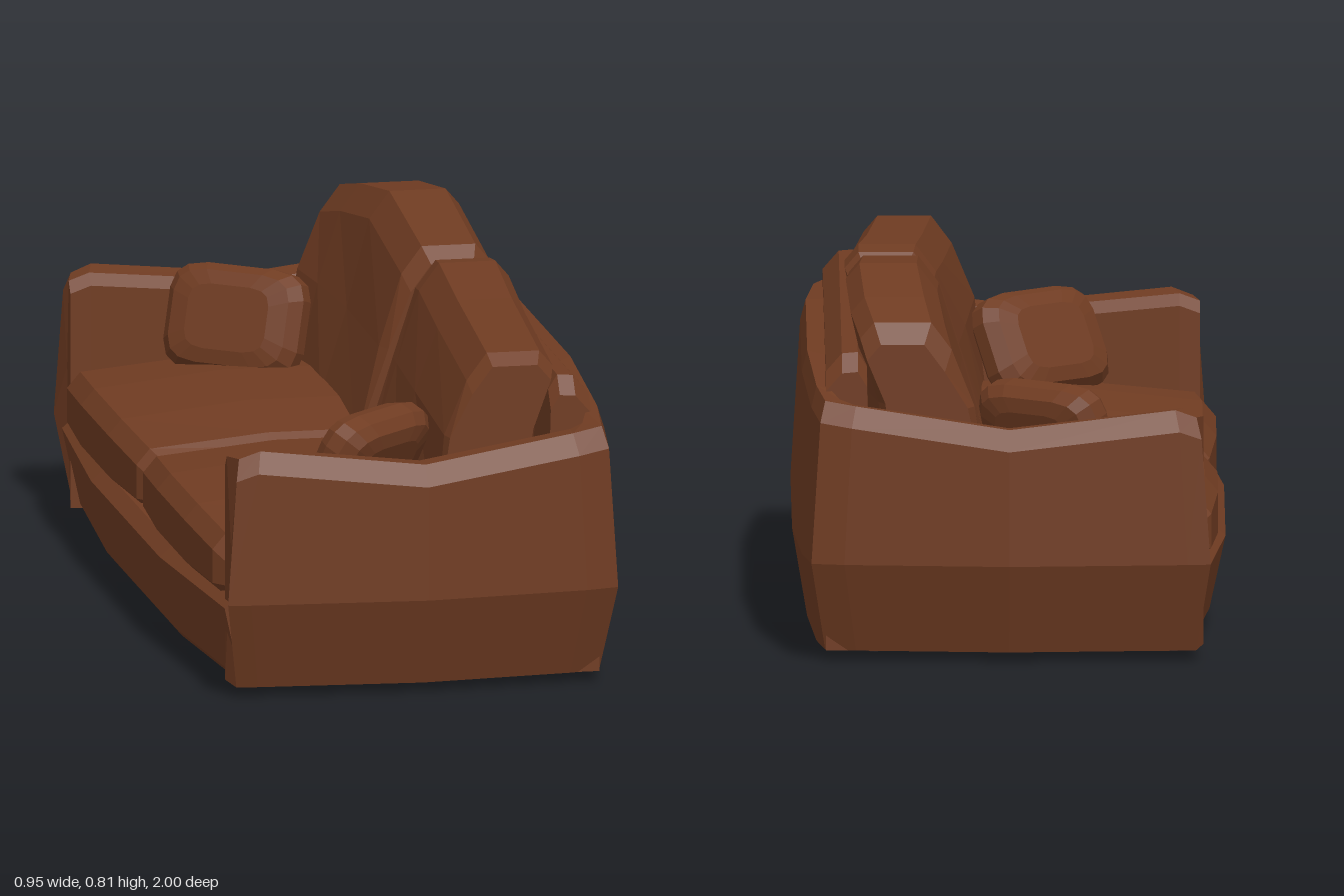
import * as THREE from 'three';

const leather = new THREE.MeshStandardMaterial({ color: 0x703c22, flatShading: true });
leather.name = 'brown leather';
const dark = new THREE.MeshStandardMaterial({ color: 0x2a2124, flatShading: true });
dark.name = 'dark feet';

// Skin a list of equal-length closed rings, capped at both ends, facing outward
function loft(name, rings) {
  const pts = rings.map(r => r.map(p => new THREE.Vector3(...p)));
  const n = pts[0].length, tris = [];
  for (let i = 0; i < pts.length - 1; i++) {
    for (let j = 0; j < n; j++) {
      const k = (j + 1) % n;
      const a = pts[i][j], b = pts[i][k], c = pts[i + 1][k], d = pts[i + 1][j];
      tris.push([a, b, c], [a, c, d]);
    }
  }
  const cap = (ring, flip) => {
    const mid = ring.reduce((s, p) => s.add(p), new THREE.Vector3()).divideScalar(n);
    ring.forEach((p, j) => {
      const q = ring[(j + 1) % n];
      tris.push(flip ? [mid, q, p] : [mid, p, q]);
    });
  };
  cap(pts[0], true);
  cap(pts[pts.length - 1], false);
  const cross = new THREE.Vector3();
  const volume = tris.reduce((s, [a, b, c]) => s + a.dot(cross.crossVectors(b, c)), 0);
  const ordered = tris.map(t => (volume < 0 ? [t[0], t[2], t[1]] : t)).flat();
  const geo = new THREE.BufferGeometry().setFromPoints(ordered);
  geo.computeVertexNormals();
  const mesh = new THREE.Mesh(geo, leather);
  mesh.name = name;
  return mesh;
}

// Arms and back as one U-shaped sweep: outer x, z, inner x, z, top height
function armsAndBack() {
  const half = [
    [-0.44, 0.965, -0.425, 0.855, 0.54],
    [-0.39, 0.972, -0.38, 0.852, 0.557],
    [0, 1.0, 0, 0.88, 0.517],
    [0.36, 0.967, 0.34, 0.85, 0.565],
    [0.432, 0.95, 0.37, 0.84, 0.575],
    [0.452, 0.8, 0.39, 0.78, 0.588],
    [0.472, 0.4, 0.4, 0.4, 0.61],
  ];
  const mirrored = half.slice().reverse().map(([x, z, u, w, t]) => [x, -z, u, -w, t]);
  return loft('armsAndBack', [...half, ...mirrored].map(([x, z, u, w, t]) => [
    [u, 0.03, w],
    [x * 0.93, 0.022, z * 0.935],
    [x, 0.22, z],
    [x * 0.955, t - 0.045, z * 0.995],
    [x * 0.93, t, z * 0.965],
    [u, t - 0.005, w + Math.sign(w) * 0.02],
    [u, t - 0.03, w],
  ]));
}

// Bulging front rail and floor of the seat
function base() {
  const stations = [[-0.9, -0.435], [-0.38, -0.475], [0.38, -0.475], [0.9, -0.435]];
  return loft('baseAndFrontRail', stations.map(([z, f]) => [
    [f + 0.05, 0.022, z], [f + 0.035, 0.04, z], [f, 0.2, z],
    [f + 0.03, 0.225, z], [0.4, 0.225, z], [0.4, 0.022, z],
  ]));
}

// Seat cushion, domed on top and rounded at the front
function seat(name, z0, z1) {
  const m = (z0 + z1) / 2;
  const stations = [
    [z0, -0.42, 0.325, 0.345], [z0 + 0.03, -0.442, 0.345, 0.37], [m - 0.15, -0.458, 0.36, 0.39],
    [m + 0.15, -0.458, 0.36, 0.39], [z1 - 0.03, -0.442, 0.345, 0.37], [z1, -0.42, 0.325, 0.345],
  ];
  return loft(name, stations.map(([z, f, edge, top]) => [
    [f + 0.03, 0.205, z], [f, 0.235, z], [f, edge - 0.035, z], [f + 0.03, edge, z],
    [-0.15, top, z], [0.32, top, z], [0.32, 0.205, z],
  ]));
}

// Back cushion from stations of z, front x, rear x, top height
function backCushion(name, stations) {
  return loft(name, stations.map(([z, f, b, top]) => [
    [0.045, 0.35, z], [f - 0.05, 0.55, z], [f, top - 0.06, z], [f + 0.045, top, z],
    [b - 0.03, top, z], [b, top - 0.035, z], [b - 0.04, 0.56, z], [b - 0.06, 0.35, z],
  ]));
}

// Throw pillow: rounded rectangles stacked through the thickness
function pillow(name, x, y, z, turn, tilt) {
  const levels = [[-0.055, 0.6], [-0.045, 0.86], [-0.018, 1], [0.018, 1], [0.045, 0.86], [0.055, 0.6]];
  const sides = 16;
  const soft = v => Math.sign(v) * Math.pow(Math.abs(v), 0.45);
  const mesh = loft(name, levels.map(([d, s]) => Array.from({ length: sides }, (_, i) => {
    const a = ((i + 0.5) / sides) * Math.PI * 2;
    return [soft(Math.cos(a)) * 0.165 * s, soft(Math.sin(a)) * 0.12 * s, d];
  })));
  mesh.rotation.set(-tilt, turn, 0, 'YXZ');
  mesh.position.set(x, y, z);
  return mesh;
}

export function createModel() {
  const sofa = new THREE.Group();
  sofa.name = 'sofa';
  sofa.add(armsAndBack(), base());
  sofa.add(seat('seatCushionNear', 0.003, 0.83), seat('seatCushionFar', -0.84, -0.012));

  sofa.add(backCushion('backCushionNear', [
    [0.862, 0.125, 0.3, 0.705], [0.83, 0.118, 0.31, 0.73], [0.4, 0.14, 0.335, 0.75],
    [0.12, 0.155, 0.355, 0.77], [0.055, 0.16, 0.355, 0.762], [0.025, 0.18, 0.34, 0.725],
  ]));
  sofa.add(backCushion('backCushionFar', [
    [-0.018, 0.165, 0.335, 0.735], [-0.05, 0.15, 0.345, 0.77], [-0.43, 0.155, 0.355, 0.808],
    [-0.68, 0.14, 0.345, 0.77], [-0.83, 0.125, 0.325, 0.735], [-0.86, 0.14, 0.31, 0.69],
  ]));

  // Padded roll between the cushions and the back
  const roll = [[-0.81, 0.04], [-0.78, 0], [0.78, 0], [0.81, 0.04]];
  sofa.add(loft('backRoll', roll.map(([z, drop]) => [
    [0.3, 0.25, z], [0.31, 0.63 - drop, z], [0.33, 0.663 - drop, z],
    [0.365, 0.66 - drop, z], [0.4, 0.62 - drop, z], [0.4, 0.25, z],
  ])));

  sofa.add(pillow('throwPillowNear', -0.075, 0.47, 0.68, -2.39, 0.45));
  sofa.add(pillow('throwPillowFar', -0.085, 0.47, -0.7, -0.67, 0.3));

  // Feet
  const footGeo = new THREE.CylinderGeometry(0.021, 0.021, 0.035, 10);
  for (const x of [-0.355, 0.295]) {
    for (const z of [-0.745, 0.745]) {
      const foot = new THREE.Mesh(footGeo, dark);
      foot.name = 'foot';
      foot.position.set(x, 0.0175, z);
      sofa.add(foot);
    }
  }
  return sofa;
}
